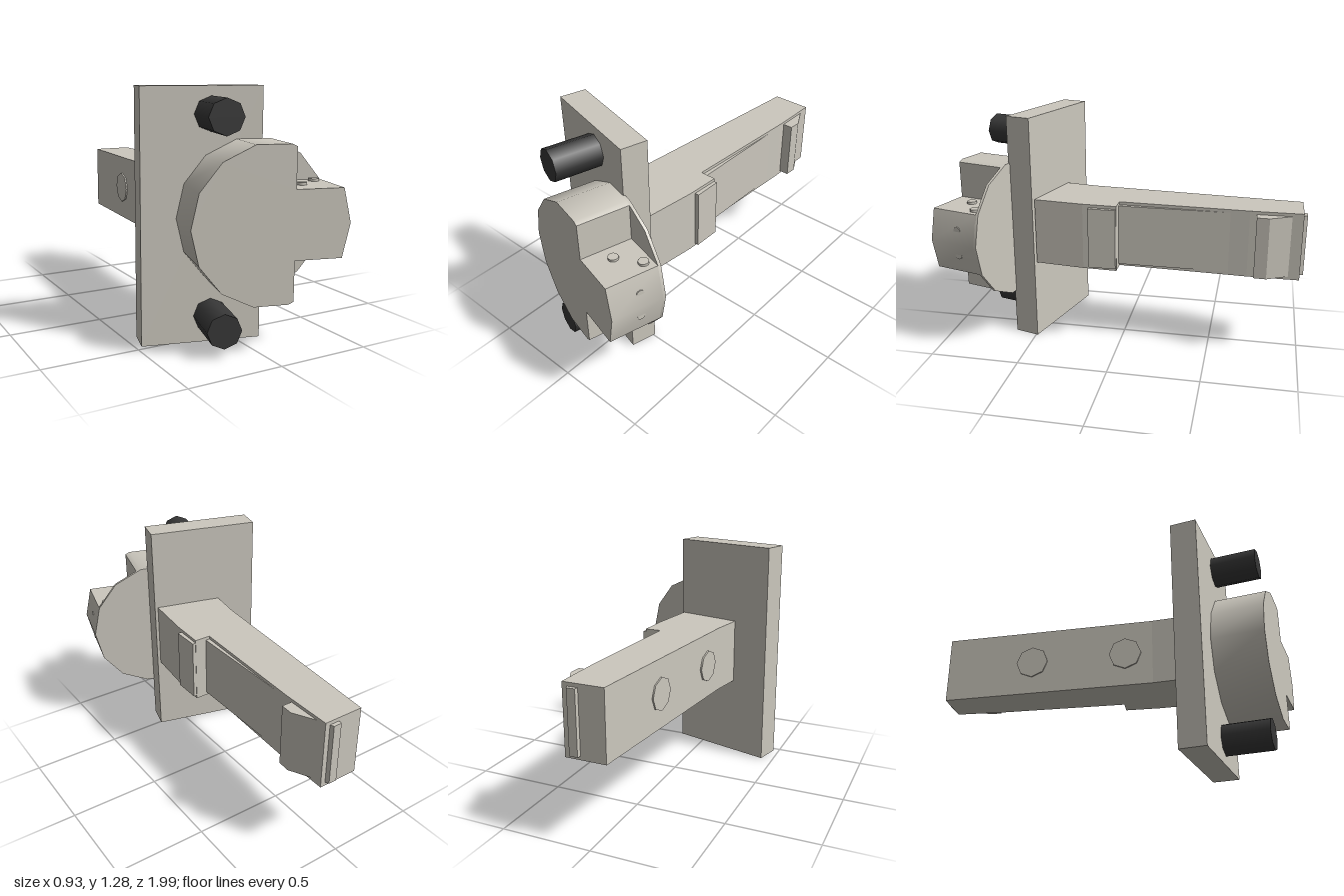
import * as THREE from 'three';
import { toCreasedNormals } from 'three/addons/utils/BufferGeometryUtils.js';

const MID = 0.643; // height of the arm and disc axis

export function createModel() {
  const model = new THREE.Group();
  const body = new THREE.MeshStandardMaterial({ color: 0xccc8be });
  const dark = new THREE.MeshStandardMaterial({ color: 0x383838 });

  const add = (parent, name, geo, x = 0, y = 0, z = 0, mat = body) => {
    const mesh = new THREE.Mesh(geo, mat);
    mesh.name = name;
    mesh.position.set(x, y, z);
    parent.add(mesh);
    return mesh;
  };
  const polygon = (pts) => new THREE.Shape(pts.map(([x, y]) => new THREE.Vector2(x, y)));
  // Plan outline given as [x, z], raised to a height centred on MID
  const prism = (name, pts, height) => {
    const geo = new THREE.ExtrudeGeometry(polygon(pts.map(([x, z]) => [x, -z])), { depth: height, bevelEnabled: false });
    geo.rotateX(-Math.PI / 2);
    add(model, name, geo, 0, MID - height / 2, 0);
  };

  // Tapered arm reaching backwards, with a step on its left side
  prism('arm', [[-0.095, -0.98], [0.125, -0.98], [0.125, -0.7], [0.097, 0.01], [0.187, 0.01],
    [0.18, 0.2], [0.15, 0.48], [-0.22, 0.39], [-0.19, 0.2]], 0.374);
  prism('armPanel', [[0.05, -0.7], [0.121, -0.7], [0.121, 0.012], [0.05, 0.012]], 0.34);
  prism('sidePad', [[0.15, 0.012], [0.205, 0.012], [0.205, 0.165], [0.15, 0.165]], 0.34);
  prism('hookTooth', [[0.1, -0.92], [0.125, -0.92], [0.185, -0.805], [0.182, -0.737], [0.1, -0.737]], 0.34);
  prism('endTab', [[0.04, -0.97], [0.045, -1], [0.09, -1], [0.102, -0.97]], 0.335);

  // Round caps on the right side of the arm
  for (const [x, z] of [[-0.134, -0.48], [-0.178, 0.05]]) {
    const geo = new THREE.CylinderGeometry(0.09, 0.09, 0.03, 8).rotateZ(Math.PI / 2);
    add(model, 'armCap', geo, x + 0.006, MID, z).rotation.y = -0.08;
  }

  // Head: turned 15 degrees about the vertical
  const head = new THREE.Group();
  head.name = 'head';
  head.position.set(-0.152, 0, 0.48);
  head.rotation.y = -Math.PI / 12;
  model.add(head);

  add(head, 'plate', new THREE.BoxGeometry(0.616, 1.285, 0.144), 0, 0.6425, 0);

  for (const y of [0.138, 1.15]) {
    const geo = new THREE.CylinderGeometry(0.087, 0.087, 0.28, 8).rotateX(Math.PI / 2);
    add(head, 'peg', geo, 0.045, y, 0.184, dark);
  }

  // Thin full disc behind a thick fourteen-sided disc with two corner notches
  const R = 0.393, CX = 0.262, step = Math.PI / 7;
  const backDisc = new THREE.CylinderGeometry(R, R, 0.016, 14, 1, false, Math.PI / 2).rotateX(Math.PI / 2);
  add(head, 'backDisc', backDisc, CX, MID, 0.071);

  const at = (k) => [R * Math.cos(k * step), R * Math.sin(k * step)];
  const notchX = 0.113, lugY = R * Math.sin(step);
  const [ax, ay] = at(3), [bx, by] = at(2);
  const notchY = ay + (by - ay) * (notchX - ax) / (bx - ax);
  const outline = [at(0), at(1), [notchX, lugY], [notchX, notchY]];
  for (let k = 3; k <= 11; k++) outline.push(at(k));
  outline.push([notchX, -notchY], [notchX, -lugY], at(13));
  const disc = new THREE.ExtrudeGeometry(polygon(outline), { depth: 0.284, bevelEnabled: false });
  add(head, 'notchedDisc', toCreasedNormals(disc, 0.6), CX, MID, 0.073);

  // Small screws above, below and at the end of the lug
  for (const s of [-1, 1]) {
    for (const [x, z] of [[0.454, 0.225], [0.561, 0.124]]) {
      add(head, 'lugScrew', new THREE.CylinderGeometry(0.027, 0.027, 0.03, 12), x, MID + s * (lugY - 0.002), z);
    }
    const geo = new THREE.CylinderGeometry(0.022, 0.022, 0.04, 8).rotateZ(Math.PI / 2);
    add(head, 'endScrew', geo, 0.62, MID + s * 0.07, 0.193);
  }
  return model;
}
